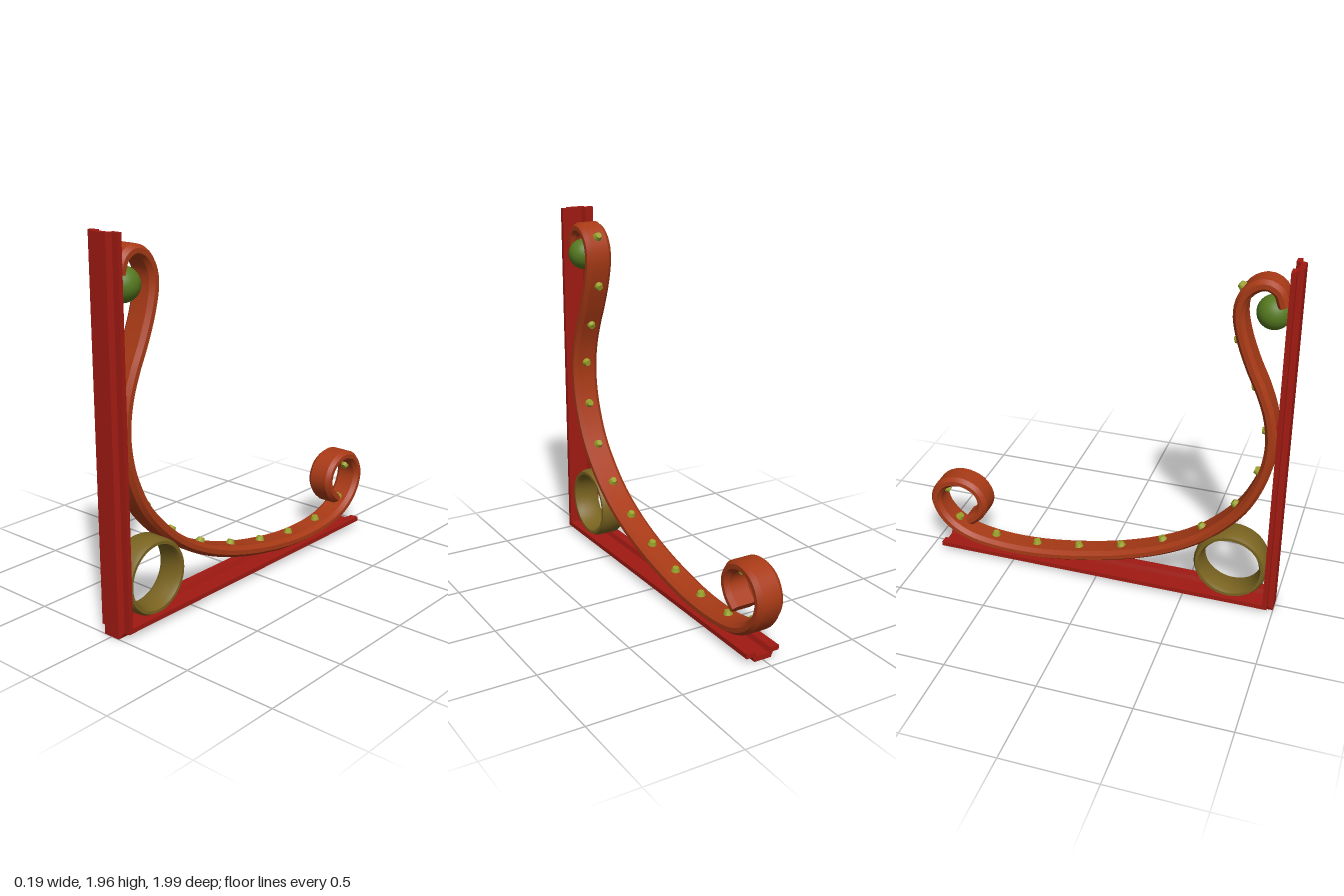
import * as THREE from 'three';
import { toCreasedNormals } from 'three/addons/utils/BufferGeometryUtils.js';

const X = new THREE.Vector3(1, 0, 0);
const V = (z, y) => new THREE.Vector3(0, y, z);
const mat = (color) => new THREE.MeshStandardMaterial({ color });

// Sweeps a counter-clockwise profile of [x, depth] through stations { p, n },
// where depth is measured from p along n.
function loft(profile, stations, crease = 0.5) {
  const m = profile.length, pos = [], index = [];
  for (const { p, n } of stations) {
    for (const [x, d] of profile) {
      const v = p.clone().addScaledVector(X, x).addScaledVector(n, d);
      pos.push(v.x, v.y, v.z);
    }
  }
  for (let j = 0; j + 1 < stations.length; j++) {
    for (let i = 0; i < m; i++) {
      const a = j * m + i, b = j * m + (i + 1) % m;
      index.push(a, b, b + m, a, b + m, a + m);
    }
  }
  const last = (stations.length - 1) * m;
  const outline = profile.map(([x, d]) => new THREE.Vector2(x, d));
  for (const [a, b, c] of THREE.ShapeUtils.triangulateShape(outline, [])) {
    index.push(a, c, b, last + a, last + b, last + c);
  }
  const g = new THREE.BufferGeometry();
  g.setAttribute('position', new THREE.Float32BufferAttribute(pos, 3));
  g.setIndex(index);
  return toCreasedNormals(g.toNonIndexed(), crease);
}

// Flat bar section with bevelled edges
function barProfile(w, t) {
  const e = w - 0.023, s = t * 0.4;
  return [[-e, -t], [e, -t], [w, -s], [w, s], [e, t], [-e, t], [-w, s], [-w, -s]];
}

function curveStations(curve, count) {
  return Array.from({ length: count + 1 }, (_, i) => {
    const u = i / count;
    return { p: curve.getPointAt(u), n: curve.getTangentAt(u).cross(X) };
  });
}

export function createModel() {
  const group = new THREE.Group();
  const add = (name, geometry, material, parent = group) => {
    const mesh = new THREE.Mesh(geometry, material);
    mesh.name = name;
    parent.add(mesh);
    return mesh;
  };
  const railMat = mat(0xa01a12), barMat = mat(0xa83a16);
  const ringMat = mat(0x7a6420), rivetMat = mat(0x98a028), ballMat = mat(0x567a20);

  // L-shaped backing rail: hat channel, mitred at the corner
  const hat = [
    [-0.048, 0], [0.048, 0], [0.06, 0.028], [0.095, 0.028], [0.095, 0.053],
    [0.046, 0.053], [0.036, 0.027], [-0.036, 0.027], [-0.046, 0.053],
    [-0.095, 0.053], [-0.095, 0.028], [-0.06, 0.028],
  ];
  add('rail', loft(hat, [
    { p: V(-0.93, 0), n: V(0, 1) },
    { p: V(1, 0), n: V(-1, 1) },
    { p: V(1, 1.96), n: V(-1, 0) },
  ]), railMat);

  // Scrolled bar, from the inner end of the low scroll to the top curl
  const path = new THREE.CatmullRomCurve3([
    [-0.765, 0.21], [-0.705, 0.265], [-0.68, 0.34], [-0.72, 0.42], [-0.82, 0.457],
    [-0.92, 0.42], [-0.965, 0.33], [-0.945, 0.245], [-0.88, 0.165], [-0.77, 0.105],
    [-0.6, 0.075], [-0.37, 0.075], [-0.12, 0.11], [0.13, 0.17], [0.37, 0.26],
    [0.56, 0.37], [0.7, 0.495], [0.8, 0.62], [0.87, 0.77], [0.905, 0.9],
    [0.915, 1.03], [0.895, 1.17], [0.85, 1.3], [0.79, 1.43], [0.735, 1.58],
    [0.712, 1.7], [0.725, 1.78], [0.77, 1.84], [0.835, 1.865], [0.895, 1.835], [0.922, 1.765],
  ].map(([z, y]) => V(z, y)));
  path.arcLengthDivisions = 800;
  add('scrollBar', loft(barProfile(0.075, 0.03), curveStations(path, 160)), barMat);

  // Rivets along the inner face of the scrolled bar
  const rivets = new THREE.Group();
  rivets.name = 'rivets';
  group.add(rivets);
  const rivetGeo = new THREE.CylinderGeometry(0.017, 0.028, 0.03, 12);
  for (let i = 1; i < 16; i++) {
    const u = i / 16, n = path.getTangentAt(u).cross(X);
    const rivet = add('rivet', rivetGeo, rivetMat, rivets);
    rivet.position.copy(path.getPointAt(u)).addScaledVector(n, 0.037);
    rivet.quaternion.setFromUnitVectors(new THREE.Vector3(0, 1, 0), n);
  }

  // Ring filling the corner
  const ringStations = Array.from({ length: 65 }, (_, i) => {
    const a = (i / 64) * Math.PI * 2, n = V(Math.cos(a), Math.sin(a));
    return { p: n.clone().multiplyScalar(0.178).add(V(0.75, 0.245)), n };
  }).reverse();
  add('cornerRing', loft(barProfile(0.075, 0.02), ringStations), ringMat);

  // Ball held inside the top curl
  add('ball', new THREE.SphereGeometry(0.086, 32, 20), ballMat).position.set(0.009, 1.71, 0.87);

  // Pads where the bar meets the rail
  add('uprightPad', new THREE.BoxGeometry(0.1, 0.21, 0.025), railMat).position.set(0, 1.03, 0.945);
  add('basePad', new THREE.BoxGeometry(0.1, 0.02, 0.4), railMat).position.set(0, 0.05, -0.45);

  return group;
}
